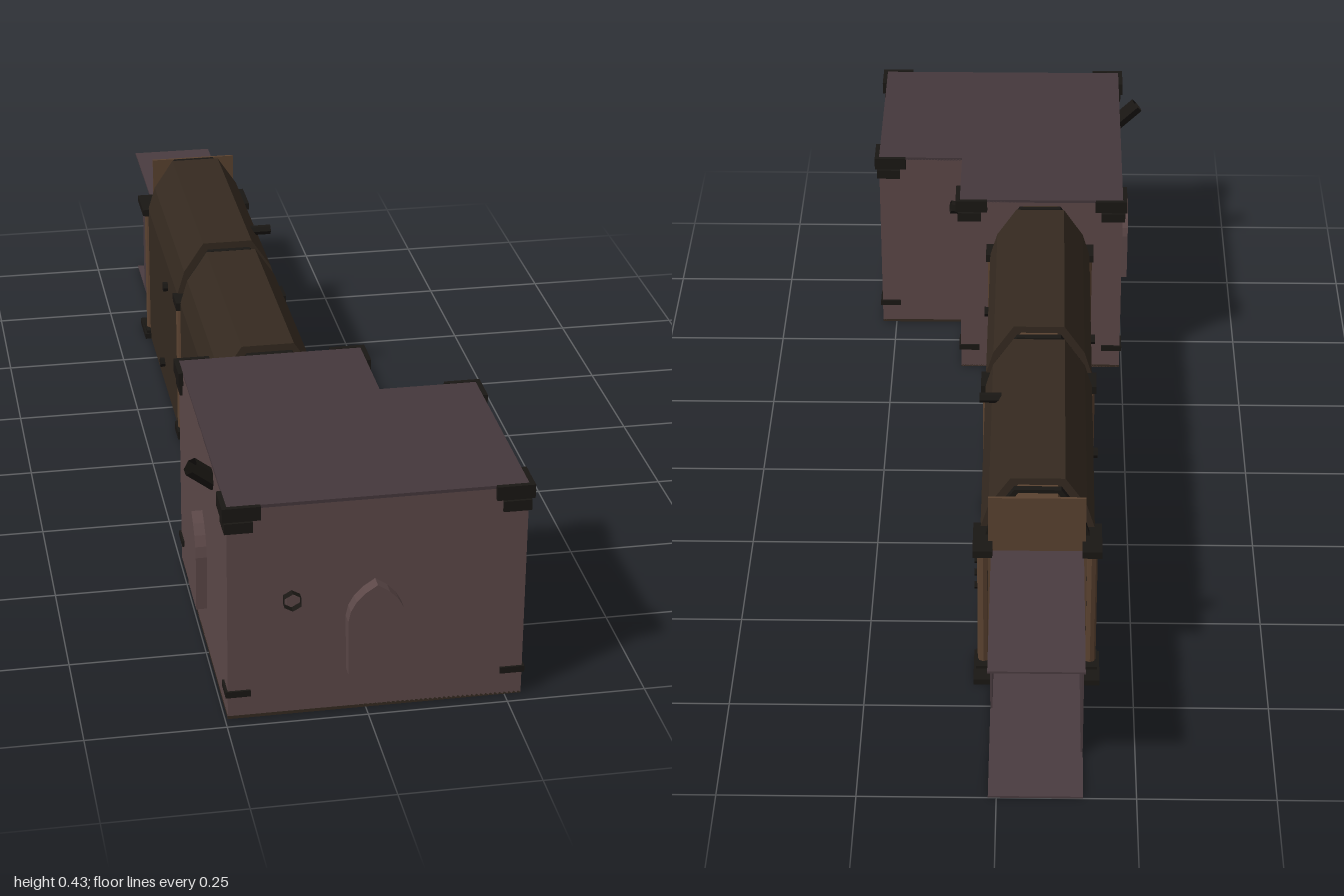
import * as THREE from 'three';

const mat = (color) => new THREE.MeshStandardMaterial({ color, side: THREE.DoubleSide, flatShading: true });
const M = {
  wall: mat(0x5c4848), roof: mat(0x45383c), hull: mat(0x352a20),
  trim: mat(0x1a1714), column: mat(0x5a4230), passage: mat(0x4a3c40),
};
const CX = -0.07; // corridor centre line

export function createModel() {
  const root = new THREE.Group();
  const add = (name, geo, material, parent = root) => {
    const m = new THREE.Mesh(geo, material);
    m.name = name;
    parent.add(m);
    return m;
  };
  // Box given by its limits on each axis
  const box = (name, x0, x1, y0, y1, z0, z1, material, parent) => {
    const m = add(name, new THREE.BoxGeometry(x1 - x0, y1 - y0, z1 - z0), material, parent);
    m.position.set((x0 + x1) / 2, (y0 + y1) / 2, (z0 + z1) / 2);
    return m;
  };
  const rod = (name, a, b, r, material, sides = 6, open = false) => {
    const A = new THREE.Vector3(...a), B = new THREE.Vector3(...b);
    const m = add(name, new THREE.CylinderGeometry(r, r, A.distanceTo(B), sides, 1, open), material);
    m.position.copy(A).lerp(B, 0.5);
    m.quaternion.setFromUnitVectors(new THREE.Vector3(0, 1, 0), B.sub(A).normalize());
    return m;
  };
  // Hollow hexagonal pipe end
  const stub = (name, a, b, r) => {
    rod(name, a, b, r, M.trim, 6, true);
    rod(name + 'Core', a, a.map((v, i) => v + (b[i] - v) * 0.6), r * 0.7, M.wall);
  };

  // L-shaped floor and roof of the room
  const plan = [[-0.245, 0.395], [0.1, 0.395], [0.1, 0.575], [0.28, 0.575], [0.28, 0.975], [-0.245, 0.975]];
  const slab = (name, y, material) => {
    const shape = new THREE.Shape(plan.map(([x, z]) => new THREE.Vector2(x, -z)));
    const geo = new THREE.ExtrudeGeometry(shape, { depth: 0.006, bevelEnabled: false });
    add(name, geo.rotateX(-Math.PI / 2), material).position.y = y;
  };
  slab('roomFloor', 0, M.hull);
  slab('roomRoof', 0.414, M.roof);

  // Room walls, with an open bay on the +x side and a doorway to the corridor
  const T = 0.008, H = 0.416;
  box('frontWall', -0.245, 0.28, 0, H, 0.975 - T, 0.975, M.wall);
  box('rightWall', -0.245, -0.245 + T, 0, H, 0.395, 0.975, M.wall);
  box('innerSideWall', 0.1 - T, 0.1, 0, H, 0.395, 0.575, M.wall);
  box('innerBackWall', 0.1 - T, 0.28, 0, H, 0.575, 0.575 + T, M.wall);
  box('bayPost', 0.28 - T, 0.28, 0, H, 0.575, 0.62, M.wall);
  box('bayPost', 0.28 - T, 0.28, 0, H, 0.935, 0.975, M.wall);
  box('bayHeader', 0.28 - T, 0.28, 0.31, H, 0.62, 0.935, M.wall);
  box('backWall', -0.245, -0.155, 0, H, 0.395, 0.395 + T, M.wall);
  box('backWall', 0.015, 0.1, 0, H, 0.395, 0.395 + T, M.wall);
  box('backWallHeader', -0.155, 0.015, 0.29, H, 0.395, 0.395 + T, M.wall);

  // Pointed arch doors
  const door = new THREE.Shape();
  door.moveTo(-0.049, 0.083);
  door.lineTo(0.049, 0.083);
  door.lineTo(0.051, 0.19);
  door.quadraticCurveTo(0.048, 0.232, 0, 0.259);
  door.quadraticCurveTo(-0.048, 0.232, -0.051, 0.19);
  door.closePath();
  const doorGeo = new THREE.ExtrudeGeometry(door, { depth: 0.035, bevelEnabled: false, curveSegments: 4 });
  add('frontDoor', doorGeo, M.wall).position.set(0.013, 0, 0.965);
  const sideDoor = add('sideDoor', doorGeo, M.wall);
  sideDoor.position.set(-0.23, 0, 0.685);
  sideDoor.rotation.y = -Math.PI / 2;

  // Two-tier brackets round the outer corners
  for (const [x, z, sx, sz] of [[-0.245, 0.975, -1, 1], [0.28, 0.975, 1, 1], [0.28, 0.575, 1, -1], [0.1, 0.395, 1, -1], [-0.245, 0.395, -1, -1]]) {
    const g = new THREE.Group();
    g.name = 'cornerBracket';
    root.add(g);
    for (const [y0, y1, len, out] of [[0.395, 0.421, 0.058, 0.009], [0.37, 0.39, 0.045, 0.005], [0.045, 0.057, 0.04, 0.004]]) {
      const ex = x + sx * out, ez = z + sz * out, ix = x - sx * len, iz = z - sz * len;
      box('bracketArm', Math.min(ex, ix), Math.max(ex, ix), y0, y1, Math.min(z, ez), Math.max(z, ez), M.trim, g);
      box('bracketArm', Math.min(x, ex), Math.max(x, ex), y0, y1, Math.min(ez, iz), Math.max(ez, iz), M.trim, g);
    }
  }

  // Pipe ends on the room walls
  stub('frontPipe', [-0.133, 0.232, 0.97], [-0.133, 0.232, 0.99], 0.017);
  stub('sidePipe', [-0.238, 0.382, 0.81], [-0.284, 0.421, 0.82], 0.017);
  stub('innerPipe', [0.095, 0.31, 0.55], [0.125, 0.315, 0.545], 0.014);

  // Pipes inside the room
  const pipe = (name, pts, r) => {
    const path = new THREE.CurvePath();
    const v = pts.map((p) => new THREE.Vector3(...p));
    for (let i = 1; i < v.length; i++) path.add(new THREE.LineCurve3(v[i - 1], v[i]));
    add(name, new THREE.TubeGeometry(path, 40, r, 6), M.trim);
  };
  pipe('roomLowerPipe', [[-0.225, 0.09, 0.96], [-0.225, 0.09, 0.85], [-0.225, 0.075, 0.8], [-0.225, 0.075, 0.62]], 0.008);
  pipe('roomUpperPipe', [[-0.225, 0.25, 0.96], [-0.225, 0.26, 0.91], [-0.225, 0.3, 0.83], [-0.225, 0.3, 0.42]], 0.008);

  // Corridor shell: outer vault outline with the passage cut out from below
  const vault = (name, z0, z1, inset, material) => {
    const half = [[0.105, 0], [0.105, 0.31], [0.09, 0.36], [0.05, 0.42]].map(([x, y]) => [x - inset, Math.max(0, y - inset)]);
    const hole = [[0.085, 0], [0.085, 0.29]];
    const mirror = (p) => p.map(([x, y]) => [-x, y]).reverse();
    const pts = [...half, ...mirror(half), ...mirror(hole).reverse(), ...[...hole].reverse()];
    const geo = new THREE.ExtrudeGeometry(new THREE.Shape(pts.map((p) => new THREE.Vector2(...p))), { depth: z1 - z0, bevelEnabled: false });
    add(name, geo, material).position.set(CX, 0, z0);
  };
  vault('corridorCore', -0.65, 0.4, 0.014, M.column);
  vault('corridorPanel', -0.1, 0.355, 0, M.hull);
  vault('corridorPanel', -0.61, -0.145, 0, M.hull);
  box('corridorFloor', CX - 0.105, CX + 0.105, 0, 0.006, -0.65, 0.4, M.hull);

  // Columns, capitals and arch ribs
  for (const z of [0.375, -0.123, -0.63]) {
    vault('archRib', z - 0.006, z + 0.006, 0.007, M.trim);
    for (const s of [-1, 1]) {
      const x = CX + s * 0.1;
      rod('column', [x, 0, z], [x, 0.3, z], 0.011, M.column, 8);
      box('columnCapital', x - 0.014, x + 0.014, 0.295, 0.312, z - 0.026, z + 0.026, M.trim);
      box('columnBase', x - 0.014, x + 0.014, 0, 0.018, z - 0.026, z + 0.026, M.trim);
    }
  }
  // Projecting corner ledges at the end of the corridor
  for (const s of [-1, 1]) {
    const x = CX + s * 0.1;
    box('endLedge', x - 0.018, x + 0.018, 0.298, 0.312, -0.688, -0.6, M.trim);
    box('endFoot', x - 0.018, x + 0.018, 0, 0.012, -0.688, -0.6, M.trim);
  }

  // Cables, clamps and rivets on the corridor side
  const xs = CX + 0.107;
  const upper = [[0.36, 0.045], [0.3, 0.045], [0.19, 0.1], [-0.3, 0.1], [-0.42, 0.13], [-0.6, 0.13]];
  const lower = [[0.36, 0.02], [0.25, 0.02], [0.14, 0.055], [-0.35, 0.055], [-0.42, 0.085], [-0.6, 0.085]];
  for (const line of [upper, lower]) pipe('sideCable', line.map(([z, y]) => [xs, y, z]), 0.003);
  for (const z of [0.12, 0.04, -0.05, -0.2, -0.28]) box('cableClamp', xs - 0.004, xs + 0.006, 0.07, 0.083, z - 0.006, z + 0.006, M.trim);
  for (const y of [0.16, 0.19, 0.22]) rod('rivet', [xs - 0.004, y, -0.59], [xs + 0.01, y, -0.59], 0.007, M.trim);
  for (const [z, y] of [[0.16, 0.29], [-0.29, 0.38]]) rod('wallStud', [CX + 0.07, y, z], [xs + 0.006, y, z], 0.01, M.trim);
  for (const [z, y] of [[0.12, 0.25], [0.05, 0.05], [-0.3, 0.26], [-0.37, 0.05]]) rod('wallStud', [CX - 0.1, y, z], [CX - 0.115, y, z], 0.01, M.trim);

  // Broken-off passage at the far end
  box('endPlate', -0.158, 0.02, 0.29, 0.408, -0.655, -0.65, M.column);
  box('passageFloor', -0.155, 0.015, 0, 0.004, -1, -0.65, M.passage);
  box('passageCeiling', -0.155, 0.015, 0.286, 0.29, -1, -0.65, M.passage);
  box('passageLeftWall', 0.011, 0.015, 0, 0.288, -0.76, -0.65, M.passage);
  box('passageLeftHeader', 0.011, 0.015, 0.19, 0.288, -0.88, -0.76, M.passage);
  box('passageRightWall', -0.155, -0.151, 0, 0.288, -0.76, -0.65, M.passage);
  box('passageRightLowWall', -0.155, -0.151, 0, 0.19, -0.88, -0.76, M.passage);

  return root;
}
